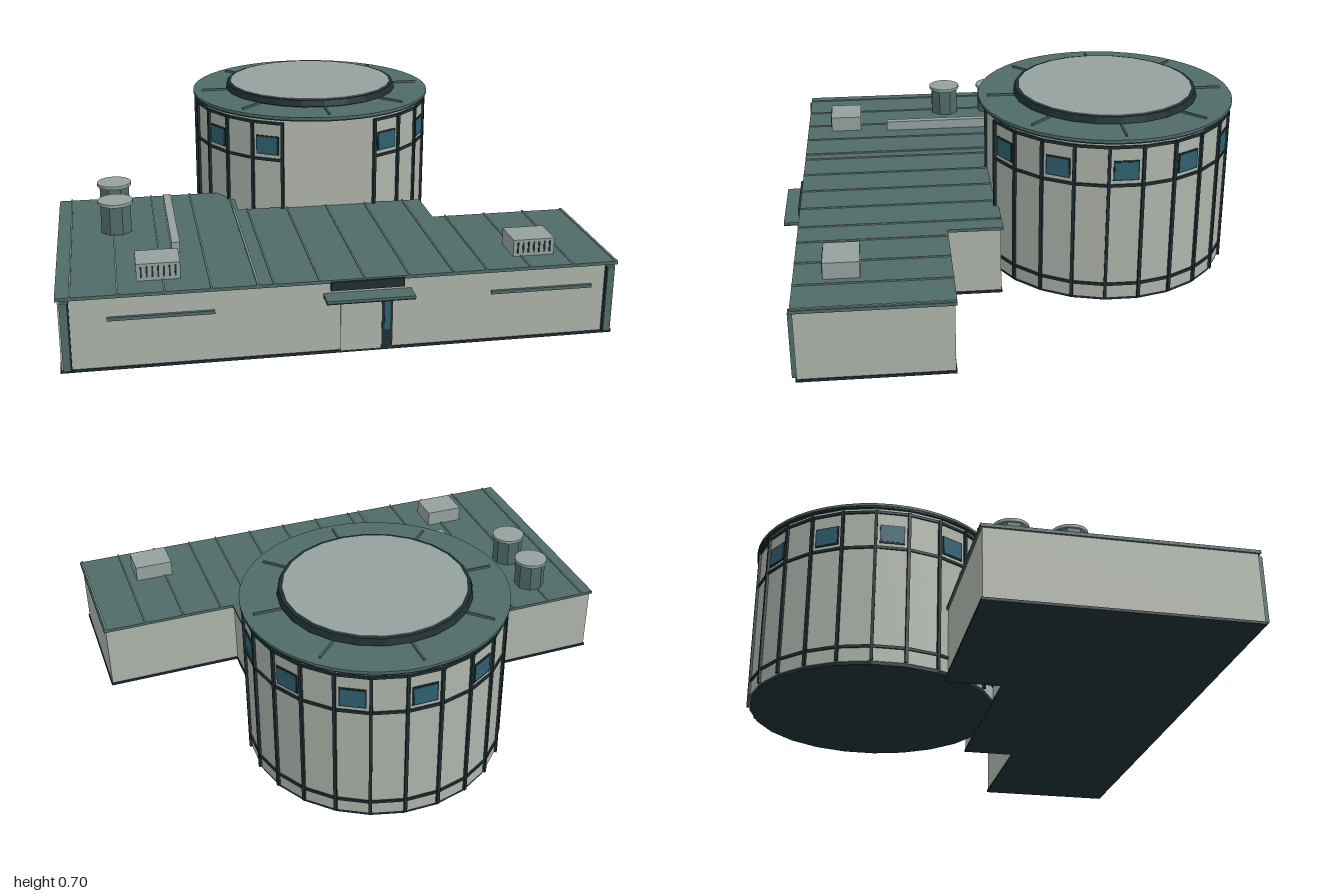
import * as THREE from 'three';

const mat = (color) => new THREE.MeshStandardMaterial({ color, flatShading: true });
const WALL = mat(0xadb3aa), ROOF = mat(0x4f6b68), PALE = mat(0x93a19f);
const DARK = mat(0x1e2f33), GLASS = mat(0x2f6070), SEAM = mat(0x738a86);

export function createModel() {
  const model = new THREE.Group();
  const add = (parent, name, geometry, material, x = 0, y = 0, z = 0) => {
    const mesh = new THREE.Mesh(geometry, material);
    mesh.name = name;
    mesh.position.set(x, y, z);
    parent.add(mesh);
    return mesh;
  };
  // Box given by its minimum and maximum corners
  const box = (parent, name, material, x0, x1, y0, y1, z0, z1) =>
    add(parent, name, new THREE.BoxGeometry(x1 - x0, y1 - y0, z1 - z0), material,
      (x0 + x1) / 2, (y0 + y1) / 2, (z0 + z1) / 2);
  // Prism standing on a plan of [x, z] points
  const prism = (parent, name, material, plan, y0, y1) => {
    const shape = new THREE.Shape(plan.map(([x, z]) => new THREE.Vector2(x, -z)));
    const geometry = new THREE.ExtrudeGeometry(shape, { depth: y1 - y0, bevelEnabled: false });
    geometry.rotateX(-Math.PI / 2);
    return add(parent, name, geometry, material, 0, y0, 0);
  };

  // Low building: stepped plan, inset by e
  const plan = (e) => [
    [-1 + e, -0.17 + e], [-0.29 - e, -0.17 + e], [-0.29 - e, 0.05 + e], [0.46 - e, 0.05 + e],
    [0.46 - e, 0.26 + e], [1 - e, 0.26 + e], [1 - e, 0.82 - e], [-1 + e, 0.82 - e],
  ];
  const hall = new THREE.Group();
  hall.name = 'lowBuilding';
  model.add(hall);
  prism(hall, 'plinth', DARK, plan(0.004), 0, 0.01);
  prism(hall, 'walls', WALL, plan(0.008), 0.01, 0.27);
  prism(hall, 'roof', ROOF, plan(0), 0.27, 0.282);

  // Standing seams on each roof section
  const seams = [[-0.95, -0.3, -0.17], [-0.254, 0.45, 0.05], [0.51, 1, 0.26]];
  for (const [start, end, back] of seams)
    for (let x = start; x < end; x += 0.16)
      box(hall, 'roofSeam', SEAM, x - 0.003, x + 0.003, 0.28, 0.287, back, 0.82);
  box(hall, 'roofSeam', SEAM, -0.31, -0.304, 0.28, 0.287, 0.05, 0.82);
  box(hall, 'roofSeam', SEAM, 0.989, 0.995, 0.28, 0.287, 0.26, 0.82);

  // Front corner strips and long wall strips
  for (const s of [-1, 1]) {
    const a = s * 0.972;
    box(hall, 'cornerStrip', ROOF, a - 0.014, a + 0.014, 0.012, 0.265, 0.8, 0.828);
    box(hall, 'cornerStripEdge', DARK, a - s * 0.014 - 0.003, a - s * 0.014 + 0.003, 0.012, 0.265, 0.8, 0.829);
  }
  box(hall, 'wallStrip', ROOF, -0.83, -0.46, 0.187, 0.199, 0.81, 0.823);
  box(hall, 'wallStrip', ROOF, 0.53, 0.905, 0.187, 0.199, 0.81, 0.823);

  // Entrance
  const entrance = new THREE.Group();
  entrance.name = 'entrance';
  model.add(entrance);
  box(entrance, 'doorPanel', WALL, -0.018, 0.17, 0.008, 0.205, 0.8, 0.817);
  box(entrance, 'doorFrame', DARK, 0.13, 0.168, 0.008, 0.205, 0.8, 0.819);
  box(entrance, 'doorGlass', GLASS, 0.14, 0.16, 0.08, 0.2, 0.8, 0.821);
  box(entrance, 'canopy', ROOF, -0.08, 0.235, 0.223, 0.231, 0.8, 0.885);
  box(entrance, 'canopyEdge', DARK, -0.08, 0.235, 0.218, 0.224, 0.8, 0.885);
  box(entrance, 'headPanel', DARK, -0.055, 0.208, 0.244, 0.276, 0.8, 0.828);

  // Rooftop equipment
  const equipment = new THREE.Group();
  equipment.name = 'roofEquipment';
  model.add(equipment);
  for (const z of [-0.015, 0.2]) {
    const body = add(equipment, 'fanHousing', new THREE.CylinderGeometry(0.062, 0.062, 0.115, 8), ROOF, -0.778, 0.338, z);
    body.rotation.y = Math.PI / 8;
    add(equipment, 'fanCap', new THREE.CylinderGeometry(0.067, 0.067, 0.012, 24), PALE, -0.778, 0.4, z);
  }
  for (const x of [-0.645, 0.717]) {
    box(equipment, 'airUnit', PALE, x - 0.077, x + 0.077, 0.28, 0.345, 0.585, 0.715);
    for (let i = -3; i <= 3; i++)
      box(equipment, 'louver', DARK, x + i * 0.02 - 0.003, x + i * 0.02 + 0.003, 0.295, 0.335, 0.7, 0.718);
  }
  box(equipment, 'duct', PALE, -0.583, -0.553, 0.28, 0.322, -0.07, 0.47);

  // Round hall: 24 sides with one wide flat face at the front
  const drum = new THREE.Group();
  drum.name = 'roundHall';
  drum.position.set(0.077, 0, -0.39);
  model.add(drum);
  const step = Math.PI / 12, R = 0.488;
  const angles = Array.from({ length: 22 }, (_, i) => (i + 1.5) * step);
  const ring = (r) => angles.map((a) => [r * Math.sin(a), r * Math.cos(a)]);
  prism(drum, 'drumPlinth', DARK, ring(R - 0.004), 0.002, 0.014);
  prism(drum, 'drumWall', WALL, ring(R), 0.014, 0.652);

  // A piece turned to face outward at angle a
  const radial = (name, material, a, r, y, w, h, d) => {
    const mesh = add(drum, name, new THREE.BoxGeometry(w, h, d), material, r * Math.sin(a), y, r * Math.cos(a));
    mesh.rotation.y = a;
  };
  const apothem = R * Math.cos(step / 2), side = 2 * R * Math.sin(step / 2);
  angles.forEach((a, i) => {
    radial('mullion', DARK, a, R, 0.328, 0.012, 0.625, 0.018);
    if (i === angles.length - 1) return;
    const mid = a + step / 2;
    for (const y of [0.072, 0.482, 0.634])
      radial('rail', DARK, mid, apothem, y, side, 0.011, 0.012);
    // A window on every second face
    if (i % 2 === 0) {
      radial('windowFrame', DARK, mid, apothem, 0.541, 0.096, 0.078, 0.008);
      radial('windowPane', GLASS, mid, apothem, 0.541, 0.086, 0.068, 0.012);
    }
  });

  // Round roof with raised centre
  add(drum, 'drumRoofEdge', new THREE.CylinderGeometry(0.497, 0.497, 0.008, 48), DARK, 0, 0.654, 0);
  add(drum, 'drumRoof', new THREE.CylinderGeometry(0.5, 0.5, 0.01, 48), ROOF, 0, 0.662, 0);
  for (let i = 0; i < 8; i++)
    radial('roofRib', ROOF, i * Math.PI / 4, 0.41, 0.669, 0.007, 0.012, 0.11);
  add(drum, 'crownBase', new THREE.CylinderGeometry(0.345, 0.345, 0.02, 24), DARK, 0, 0.672, 0);
  add(drum, 'crownRing', new THREE.CylinderGeometry(0.355, 0.362, 0.025, 24), DARK, 0, 0.686, 0);
  add(drum, 'crownTop', new THREE.CylinderGeometry(0.342, 0.342, 0.01, 24), PALE, 0, 0.697, 0);

  return model;
}
